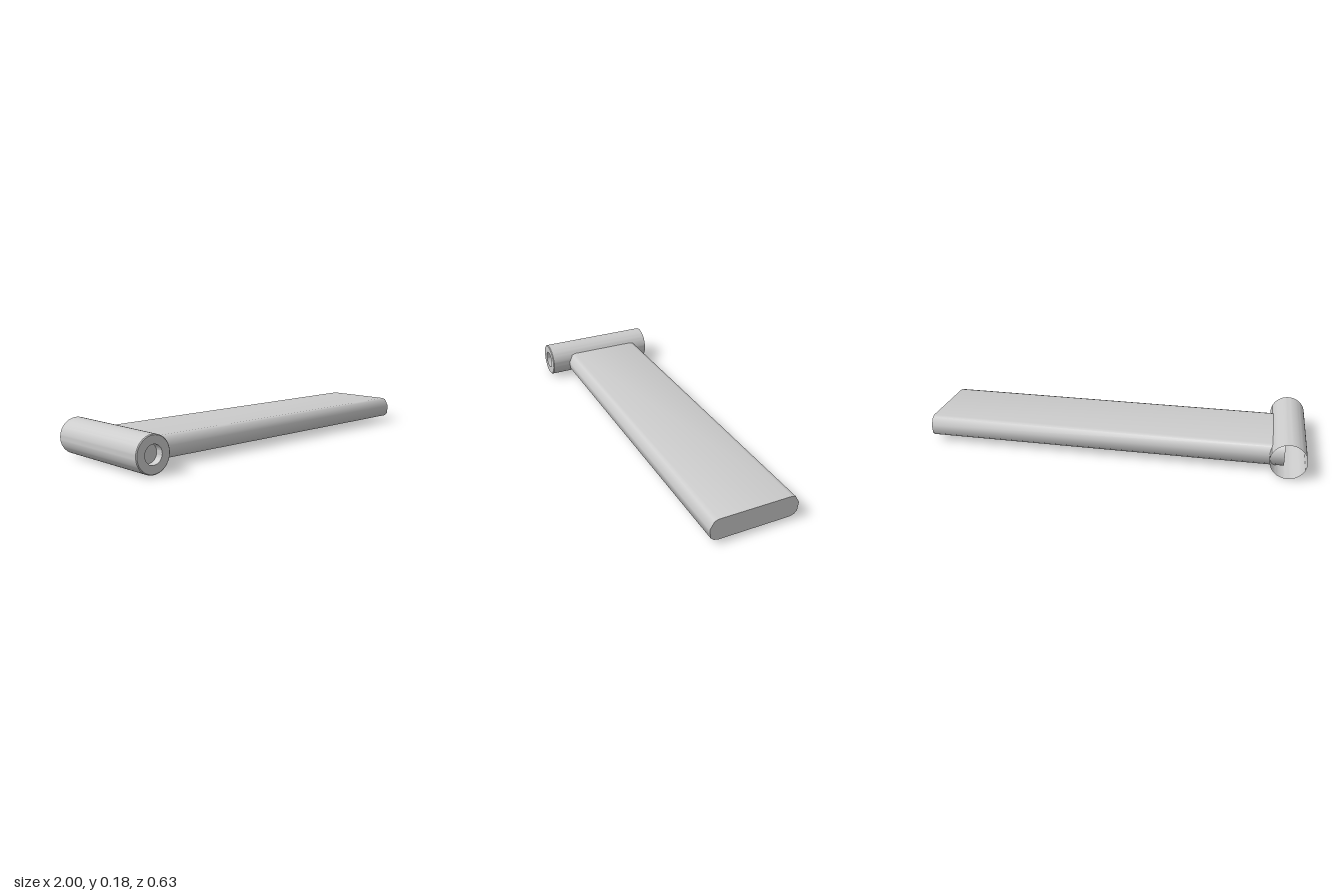
import * as THREE from 'three';
import { toCreasedNormals } from 'three/addons/utils/BufferGeometryUtils.js';

export function createModel() {
  const group = new THREE.Group();
  const material = new THREE.MeshStandardMaterial({ color: 0xcccccc, side: THREE.DoubleSide });
  const add = (name, geometry, crease) => {
    const mesh = new THREE.Mesh(toCreasedNormals(geometry, crease), material);
    mesh.name = name;
    group.add(mesh);
    return mesh;
  };

  // Pivot sleeve: open at the back, closed at the front around a shallow round socket
  const R = 0.092, half = 0.315, socket = 0.047;
  const profile = [
    [R, -half], [R, half - 0.004], [R - 0.004, half],
    [socket, half], [socket, half - 0.04], [0, half - 0.04],
  ].map(([r, y]) => new THREE.Vector2(r, y));
  const sleeve = add('pivotSleeve', new THREE.LatheGeometry(profile, 64).rotateX(Math.PI / 2), 0.5);
  sleeve.position.set(-1 + R, R, 0);

  // Flat arm with rounded long edges, running from inside the sleeve to the free end
  const edge = [[0.188, 0.024], [0.21, 0.03], [0.227, 0.045], [0.233, 0.092], [0.21, 0.132], [0.19, 0.138]];
  const outline = [...edge, ...edge.map(([x, y]) => [-x, y]).reverse()];
  const section = new THREE.Shape(outline.map(([x, y]) => new THREE.Vector2(x, y)));
  const startX = -0.89;
  const armGeometry = new THREE.ExtrudeGeometry(section, { depth: 1 - startX, bevelEnabled: false });
  const arm = add('arm', armGeometry.rotateY(Math.PI / 2), 0.8);
  arm.position.set(startX, 0, -0.023);

  return group;
}
